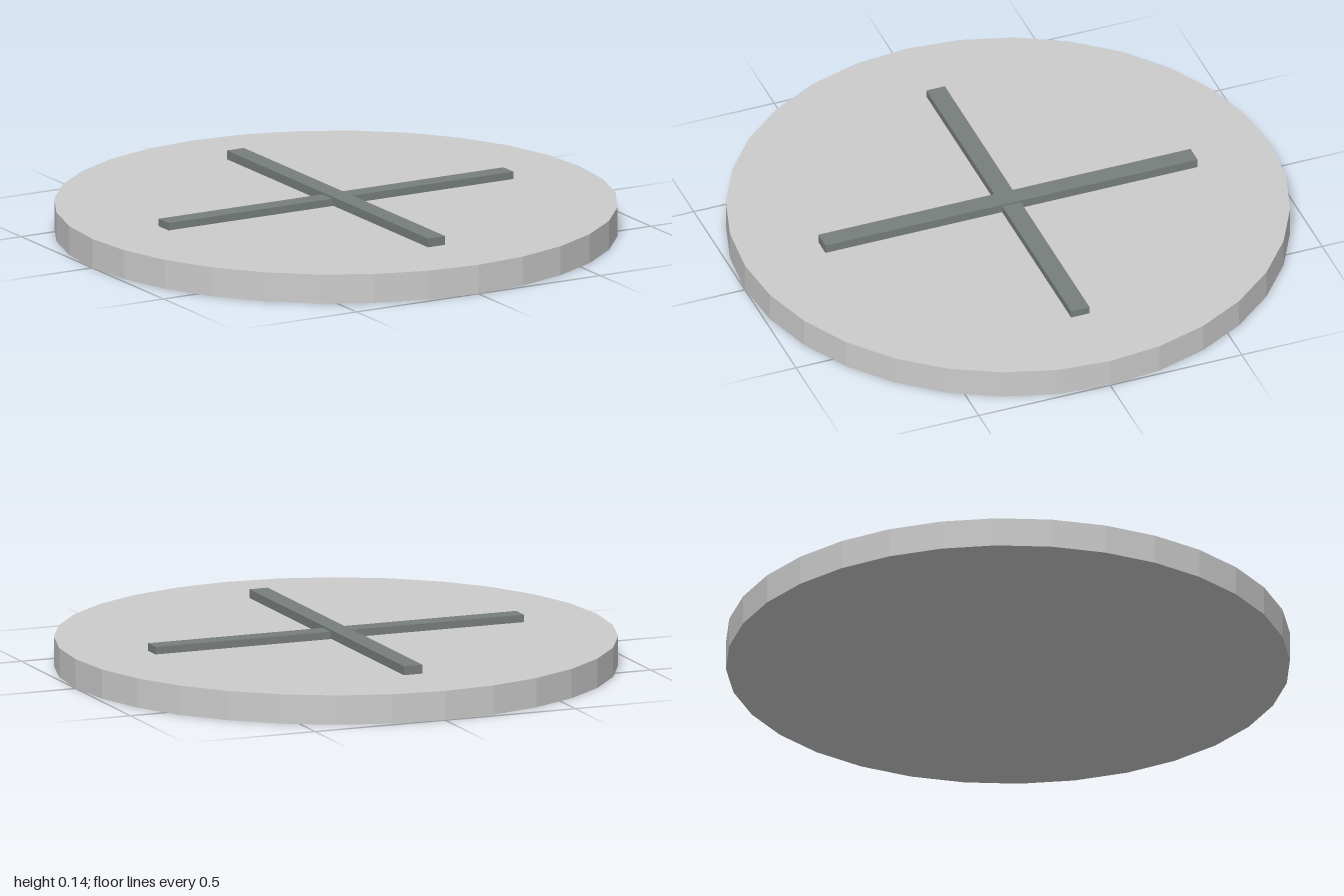
import * as THREE from 'three';

export function createModel() {
  const group = new THREE.Group();
  const grey = new THREE.MeshStandardMaterial({ color: 0xcccccc, flatShading: true });
  const dark = new THREE.MeshStandardMaterial({ color: 0x787f7c, flatShading: true });

  function add(name, geometry, material, y) {
    const mesh = new THREE.Mesh(geometry, material);
    mesh.name = name;
    mesh.position.y = y;
    group.add(mesh);
  }

  // Round base with 32 flat sides
  const baseHeight = 0.106;
  add('disc', new THREE.CylinderGeometry(1, 1, baseHeight, 32), grey, baseHeight / 2);

  // Crossed bars, the front-to-back one slightly higher
  const length = 1.415, width = 0.07, thickness = 0.028;
  add('crossBar', new THREE.BoxGeometry(length, thickness, width), dark, 0.119);
  add('lengthBar', new THREE.BoxGeometry(width, thickness + 0.004, length), dark, 0.124);

  return group;
}
